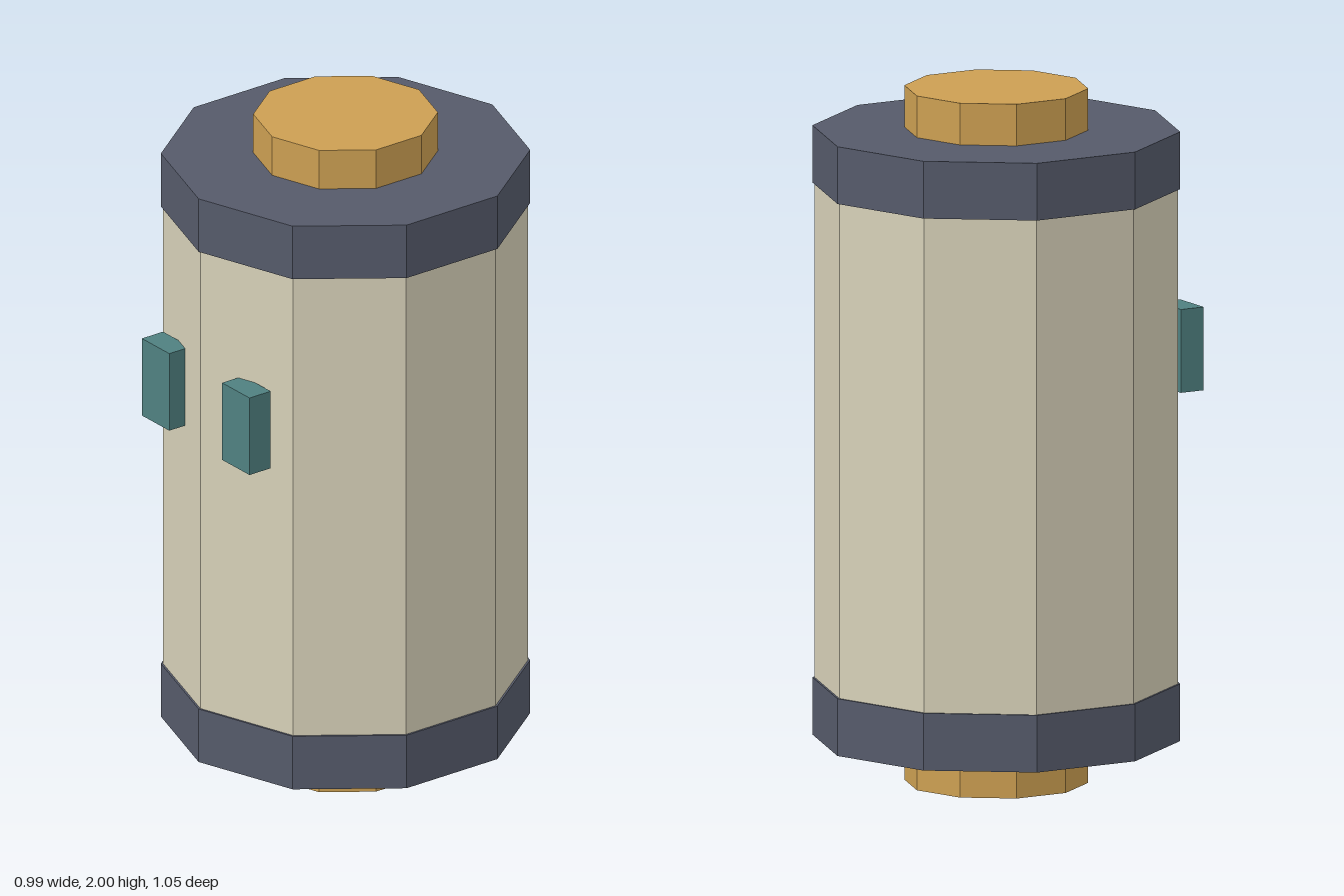
import * as THREE from 'three';

const SIDES = 10;
const AXIS_Z = -0.0075;

const paint = (color) => new THREE.MeshStandardMaterial({ color, flatShading: true });

export function createModel() {
  const group = new THREE.Group();
  const cream = paint(0xd6d0b8);
  const slate = paint(0x555a6a);
  const gold = paint(0xcc9f52);
  const teal = paint(0x4f8080);

  // Ten-sided upright drum between two heights, with a corner facing front
  const drum = (name, radius, y0, y1, material) => {
    const mesh = new THREE.Mesh(new THREE.CylinderGeometry(radius, radius, y1 - y0, SIDES), material);
    mesh.position.set(0, (y0 + y1) / 2, AXIS_Z);
    mesh.name = name;
    group.add(mesh);
  };

  drum('body', 0.516, 0.29, 1.715, cream);

  // End bands and the round stubs that stick out of them
  drum('lowerBand', 0.522, 0.125, 0.29, slate);
  drum('upperBand', 0.522, 1.715, 1.88, slate);
  drum('bottomStub', 0.261, 0, 0.125, gold);
  drum('topStub', 0.261, 1.88, 2, gold);

  // Pair of eye blocks on the front
  for (const side of [1, -1]) {
    const eye = new THREE.Mesh(new THREE.BoxGeometry(0.128, 0.24, 0.075), teal);
    eye.position.set(side * 0.187, 1.235, 0.4875);
    eye.name = side > 0 ? 'leftEye' : 'rightEye';
    group.add(eye);
  }

  return group;
}
